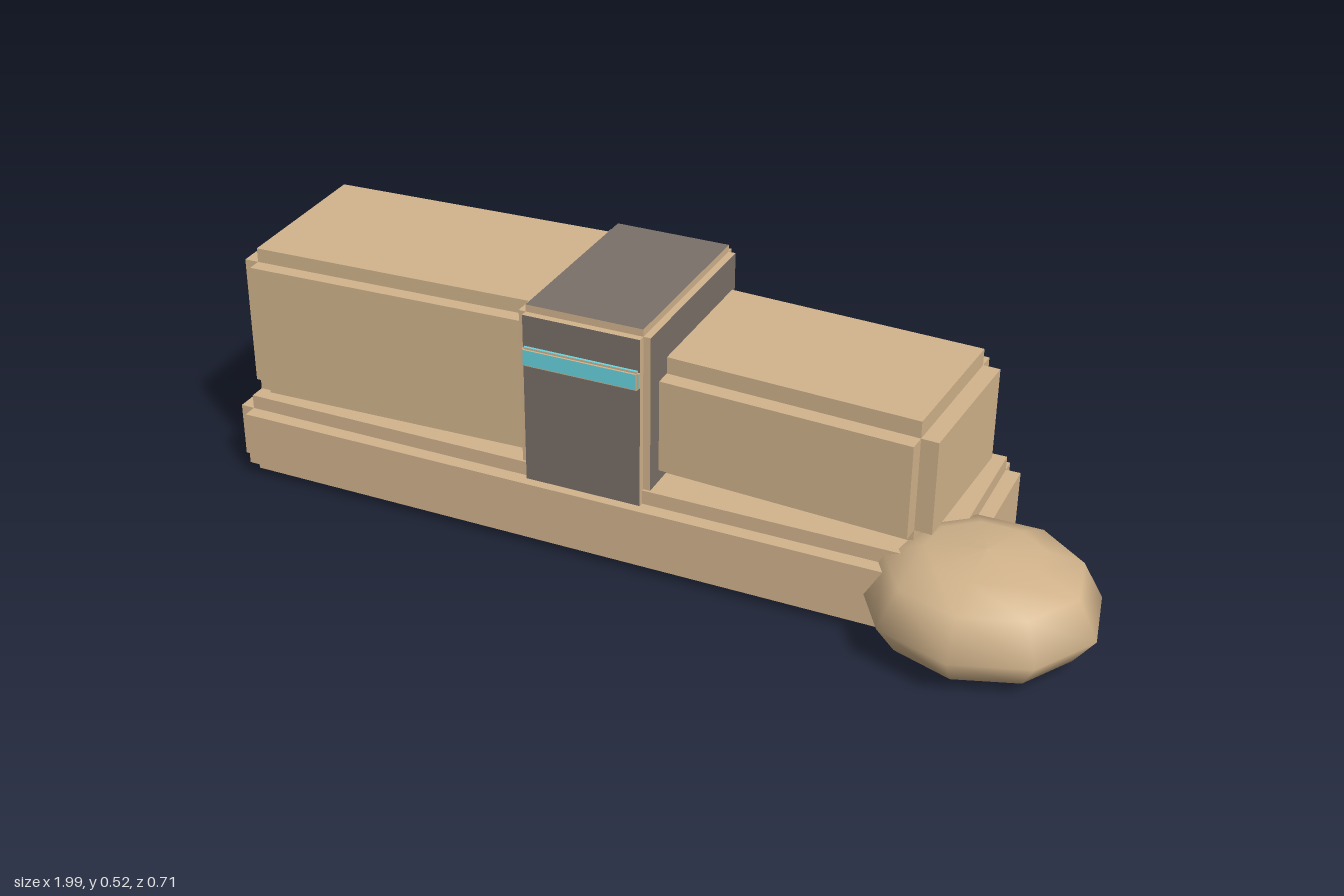
import * as THREE from 'three';

const mat = (name, color) => {
  const m = new THREE.MeshStandardMaterial({ color });
  m.name = name;
  return m;
};

export function createModel() {
  const model = new THREE.Group();
  const sand = mat('sand', 0xd2b48c);
  const darkStone = mat('dark stone', 0x7a7068);
  const cyan = mat('cyan', 0x68d4e0);

  // Block with stepped edges: three crossing slabs, each full length on one axis only.
  // The slab's two outer faces take the face colour, its side walls stay sand.
  function steppedBlock(name, size, center, step, face = sand, turn = 0) {
    const block = new THREE.Group();
    block.name = name;
    for (let axis = 0; axis < 3; axis++) {
      const s = size.map((v, i) => (i === axis ? v : v - 2 * step));
      const mats = [0, 0, 1, 1, 2, 2].map((a) => (a === axis ? face : sand));
      const slab = new THREE.Mesh(new THREE.BoxGeometry(...s), mats);
      slab.name = name + 'Slab' + 'XYZ'[axis];
      block.add(slab);
    }
    block.position.set(...center);
    block.rotation.y = turn;
    model.add(block);
    return block;
  }

  // Long foundation and the two slightly skewed blocks on top
  steppedBlock('base', [1.55, 0.175, 0.48], [-0.045, 0.0875, -0.03], 0.03);
  steppedBlock('tallBlock', [0.74, 0.335, 0.41], [-0.43, 0.3375, -0.033], 0.03, sand, 0.035);
  steppedBlock('lowBlock', [0.67, 0.265, 0.388], [0.34, 0.2975, -0.045], 0.035, sand, -0.06);

  // Dark band wrapping the middle, with a glowing strip front and back
  steppedBlock('band', [0.275, 0.4, 0.437], [-0.0225, 0.32, -0.0285], 0.015, darkStone);
  for (const [name, z] of [['frontStrip', 0.19], ['backStrip', -0.247]]) {
    steppedBlock(name, [0.245, 0.04, 0.02], [-0.0225, 0.42, z], 0.004, cyan);
  }

  // Flat-bottomed mounds: unit profile scaled to size
  function mound(name, x, z, rx, rz, height) {
    const profile = [[0, 0], [0.82, 0], [1, 0.335], [0.82, 0.78], [0.49, 0.95], [0, 1]]
      .map(([r, y]) => new THREE.Vector2(r, y));
    const geometry = new THREE.LatheGeometry(profile, 9);
    geometry.scale(rx, height, rz);
    const mesh = new THREE.Mesh(geometry, sand);
    mesh.name = name;
    mesh.position.set(x, 0.03, z);
    model.add(mesh);
  }
  mound('largeMound', 0.77, 0.14, 0.228, 0.216, 0.172);
  mound('smallMound', -0.81, -0.212, 0.19, 0.148, 0.118);

  return model;
}
